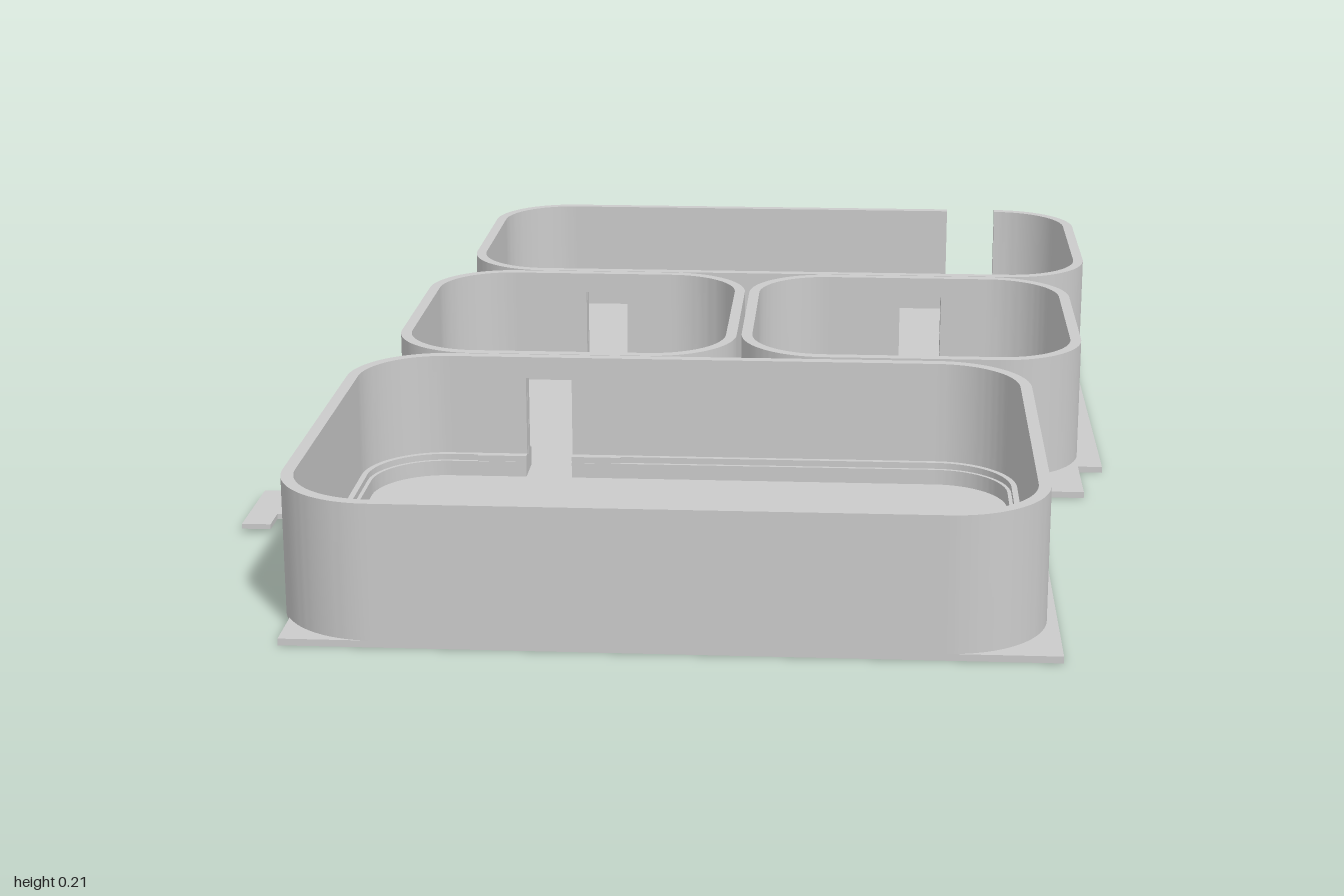
import * as THREE from 'three';
import { toCreasedNormals } from 'three/addons/utils/BufferGeometryUtils.js';

const material = new THREE.MeshStandardMaterial({ color: 0xcccccc, side: THREE.DoubleSide });
const FLOOR = 0.01, TOP = 0.21, DOOR_TOP = 0.175, WALL = 0.018;

function addMesh(parent, name, geometry) {
  const mesh = new THREE.Mesh(geometry, material);
  mesh.name = name;
  parent.add(mesh);
  return mesh;
}

// Box from its limits
function addBox(parent, name, x0, x1, y0, y1, z0, z1) {
  const mesh = addMesh(parent, name, new THREE.BoxGeometry(x1 - x0, y1 - y0, z1 - z0));
  mesh.position.set((x0 + x1) / 2, (y0 + y1) / 2, (z0 + z1) / 2);
}

// Extrude a plan shape (x, -z) upwards between two heights
function addPlan(parent, name, shape, y0, y1) {
  let geo = new THREE.ExtrudeGeometry(shape, { depth: y1 - y0, bevelEnabled: false, curveSegments: 14 });
  geo.rotateX(-Math.PI / 2).translate(0, y0, 0);
  addMesh(parent, name, toCreasedNormals(geo, 0.6));
}

// Straight runs left over after cutting gaps out of [a, b]
function runs(a, b, gaps) {
  const out = [];
  let start = a;
  for (const [g0, g1] of gaps) {
    if (g0 > start) out.push([start, g0]);
    start = g1;
  }
  if (b > start) out.push([start, b]);
  return out;
}

// Rounded rectangular band with gaps in its back and front sides
function addBand(parent, name, room, inset, thick, y0, y1, backGaps, frontGaps) {
  const { x: [x0, x1], z: [z0, z1], r } = room;
  const ro = r - inset, ri = ro - thick;
  for (const [a, b] of runs(x0 + r, x1 - r, backGaps))
    addBox(parent, name + 'Back', a, b, y0, y1, z0 + inset, z0 + inset + thick);
  for (const [a, b] of runs(x0 + r, x1 - r, frontGaps))
    addBox(parent, name + 'Front', a, b, y0, y1, z1 - inset - thick, z1 - inset);
  addBox(parent, name + 'Right', x0 + inset, x0 + inset + thick, y0, y1, z0 + r, z1 - r);
  addBox(parent, name + 'Left', x1 - inset - thick, x1 - inset, y0, y1, z0 + r, z1 - r);
  const corners = [[x1 - r, z0 + r], [x0 + r, z0 + r], [x0 + r, z1 - r], [x1 - r, z1 - r]];
  corners.forEach(([cx, cz], i) => {
    const a = i * Math.PI / 2, b = a + Math.PI / 2;
    const s = new THREE.Shape();
    s.absarc(cx, -cz, ro, a, b, false);
    s.absarc(cx, -cz, ri, b, a, true);
    s.closePath();
    addPlan(parent, name + 'Corner', s, y0, y1);
  });
}

// One room: wall, door lintels, skirting and door stops
function addRoom(parent, name, room) {
  const g = new THREE.Group();
  g.name = name;
  parent.add(g);
  const { x: [x0, x1], z: [z0, z1], r } = room;
  const back = room.backDoors || [], front = room.frontDoors || [];
  const open = room.backOpening || [], alcove = room.frontAlcove || [];
  addBand(g, 'wall', room, 0, WALL, FLOOR - 0.004, TOP, [...back, ...open], front);
  addBand(g, 'skirting', room, WALL, 0.009, FLOOR, 0.045, [...back, ...open], [...front, ...alcove]);
  addBand(g, 'skirtingFoot', room, WALL + 0.009, 0.006, FLOOR, 0.035, [...back, ...open], [...front, ...alcove]);
  const sides = [[back, z0, 1], [front, z1, -1]];
  for (const [doors, z, s] of sides) {
    for (const [a, b] of doors) {
      const w = z + s * WALL, e = w + s * 0.014;
      addBox(g, 'lintel', a, b, DOOR_TOP, TOP, Math.min(z, w), Math.max(z, w));
      for (const [p, q] of [[a - 0.08, a], [b, b + 0.08]])
        addBox(g, 'doorStop', p, q, FLOOR, 0.045, Math.min(w, e), Math.max(w, e));
    }
  }
}

export function createModel() {
  const model = new THREE.Group();
  model.name = 'floorPlanModel';

  // Stepped base plate
  const base = new THREE.Shape([
    [-0.545, -1], [0.675, -1], [0.675, 0.15], [0.635, 0.15], [0.635, 0.285],
    [0.555, 0.285], [0.555, 1], [-0.53, 1], [-0.53, 0.285], [-0.545, 0.285],
  ].reverse().map(([x, z]) => new THREE.Vector2(x, -z)));
  addPlan(model, 'basePlate', base, 0, FLOOR);

  // Hooked tab on the right side
  const tab = new THREE.Shape([
    [-0.685, 0.375], [-0.53, 0.375], [-0.53, 0.49], [-0.64, 0.49], [-0.64, 0.54], [-0.685, 0.54],
  ].reverse().map(([x, z]) => new THREE.Vector2(x, -z)));
  addPlan(model, 'sideTab', tab, 0.008, 0.016);

  // Rooms
  const doorA = [-0.235, -0.16], doorB = [0.34, 0.415], doorC = [-0.275, -0.2];
  addRoom(model, 'backRoom', {
    x: [-0.46, 0.683], z: [-0.922, -0.352], r: 0.145,
    backOpening: [[0.44, 0.535]], frontDoors: [doorA, doorB],
  });
  addRoom(model, 'middleRightRoom', {
    x: [-0.505, 0.062], z: [-0.35, 0.225], r: 0.14, backDoors: [doorA], frontDoors: [doorC],
  });
  addRoom(model, 'middleLeftRoom', {
    x: [0.07, 0.638], z: [-0.35, 0.215], r: 0.14, backDoors: [doorB],
  });
  addRoom(model, 'frontRoom', {
    x: [-0.545, 0.54], z: [0.227, 1], r: 0.145, backDoors: [doorC], frontAlcove: [[-0.08, 0.08]],
  });
  return model;
}
